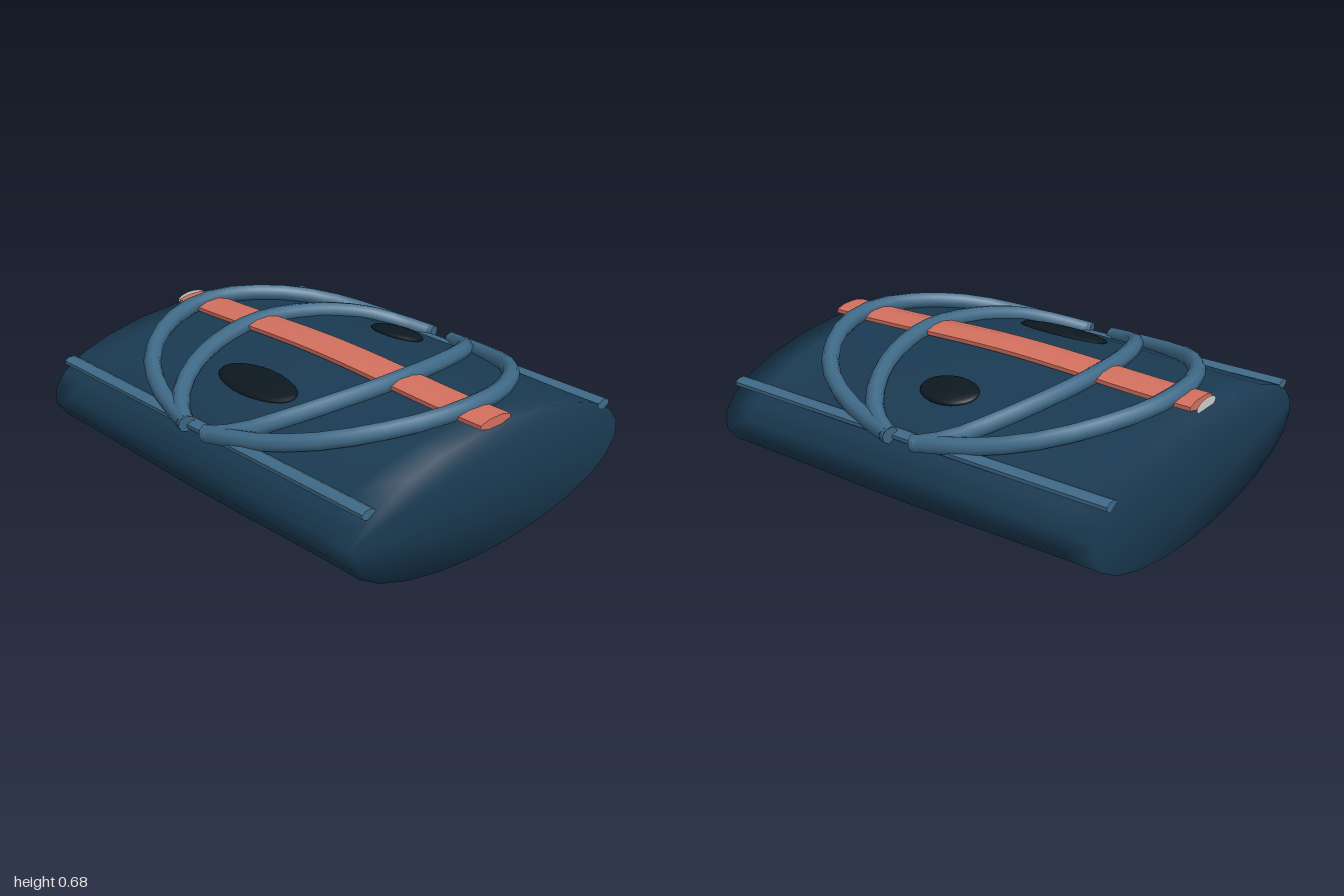
import * as THREE from 'three';
import { toCreasedNormals } from 'three/addons/utils/BufferGeometryUtils.js';

const mat = (color, extra = {}) => new THREE.MeshStandardMaterial({ color, ...extra });

// Gentle swell that is 1 at the middle of the length and 0 near the ends
const swell = x => 0.5 * (1 + Math.cos(Math.PI * Math.min(1, Math.abs(x) / 0.92)));

// Closed loft along x; section(x, angle) returns [y, z]
function loft(x0, x1, steps, sides, section, crease) {
  const pos = [], index = [];
  for (let i = 0; i <= steps; i++) {
    const x = x0 + (x1 - x0) * i / steps;
    for (let j = 0; j < sides; j++) {
      pos.push(x, ...section(x, (j + 0.5) / sides * Math.PI * 2));
    }
  }
  const at = (i, j) => i * sides + j % sides;
  for (let i = 0; i < steps; i++) {
    for (let j = 0; j < sides; j++) {
      index.push(at(i, j), at(i + 1, j), at(i + 1, j + 1));
      index.push(at(i, j), at(i + 1, j + 1), at(i, j + 1));
    }
  }
  // End caps
  for (let j = 1; j < sides - 1; j++) {
    index.push(at(0, 0), at(0, j), at(0, j + 1));
    index.push(at(steps, 0), at(steps, j + 1), at(steps, j));
  }
  const g = new THREE.BufferGeometry();
  g.setAttribute('position', new THREE.Float32BufferAttribute(pos, 3));
  g.setIndex(index);
  g.computeVertexNormals();
  return crease ? toCreasedNormals(g, 0.9) : g;
}

export function createModel() {
  const group = new THREE.Group();
  const add = (name, geometry, material) => {
    const m = new THREE.Mesh(geometry, material);
    m.name = name;
    group.add(m);
    return m;
  };
  const navy = mat(0x1a3a52), blue = mat(0x3f6a88), coral = mat(0xd3705f);
  const dark = mat(0x0d1820), white = mat(0xffffff, { side: THREE.DoubleSide });

  // Pillow-like body with an oval section
  add('body', loft(-1, 1, 14, 24, (x, a) =>
    [0.32 + (0.288 + 0.032 * swell(x)) * Math.sin(a), 0.832 * Math.cos(a)]), navy);

  // Coral strap running along the top
  add('strap', loft(-0.96, 1, 16, 8, (x, a) =>
    [0.627 + 0.026 * swell(x) + 0.024 * Math.sin(a), 0.02 + 0.098 * Math.cos(a)], true), coral);

  // Thin white disc at the strap's end
  const disc = add('strapEndDisc', new THREE.CircleGeometry(1, 20), white);
  disc.scale.set(0.08, 0.03, 1);
  disc.rotation.y = -Math.PI / 2;
  disc.position.set(-0.985, 0.623, 0.02);

  // Straight flat rails along the front and back edges
  for (const [name, z] of [['frontRail', 0.725], ['backRail', -0.715]]) {
    add(name, loft(-1, 1, 1, 8, (x, a) =>
      [0.475 + 0.022 * Math.sin(a), z + 0.038 * Math.cos(a)], true), blue);
  }

  // Curved hoops over the top: two on each side, each bowed outwards
  const hoopZ = [0, 0.2, 0.42, 0.58, 0.69, 0.76];
  const hoopY = [0.645, 0.634, 0.604, 0.563, 0.518, 0.485];
  const bows = {
    outerHoop: [0.855, 0.825, 0.71, 0.55, 0.33, 0.06],
    innerHoop: [0.47, 0.45, 0.385, 0.3, 0.2, 0.075],
  };
  for (const [name, bow] of Object.entries(bows)) {
    for (const side of [-1, 1]) {
      const half = s => bow.map((x, i) => new THREE.Vector3(side * x, hoopY[i], s * hoopZ[i]));
      const path = new THREE.CatmullRomCurve3([...half(-1).reverse(), ...half(1).slice(1)]);
      const hoop = new THREE.Group();
      hoop.name = name + (side > 0 ? 'Left' : 'Right');
      hoop.add(new THREE.Mesh(new THREE.TubeGeometry(path, 18, 0.04, 8), blue));
      // Flat ends of the hoop
      for (const t of [0, 1]) {
        const cap = new THREE.Mesh(new THREE.CircleGeometry(0.04, 8), blue);
        cap.position.copy(path.getPointAt(t));
        const out = path.getTangentAt(t).multiplyScalar(t ? 1 : -1);
        cap.quaternion.setFromUnitVectors(new THREE.Vector3(0, 0, 1), out);
        hoop.add(cap);
      }
      group.add(hoop);
    }
  }

  // Dark oval pads lying on the curved top
  for (const [name, z, rx] of [['frontPad', 0.42, 0.24], ['backPad', -0.44, 0.145]]) {
    const pad = add(name, new THREE.SphereGeometry(1, 24, 12), dark);
    pad.scale.set(rx, 0.025, 0.1);
    pad.position.set(0, 0.592, z);
    pad.rotation.x = Math.sign(z) * 0.23;
  }
  return group;
}
